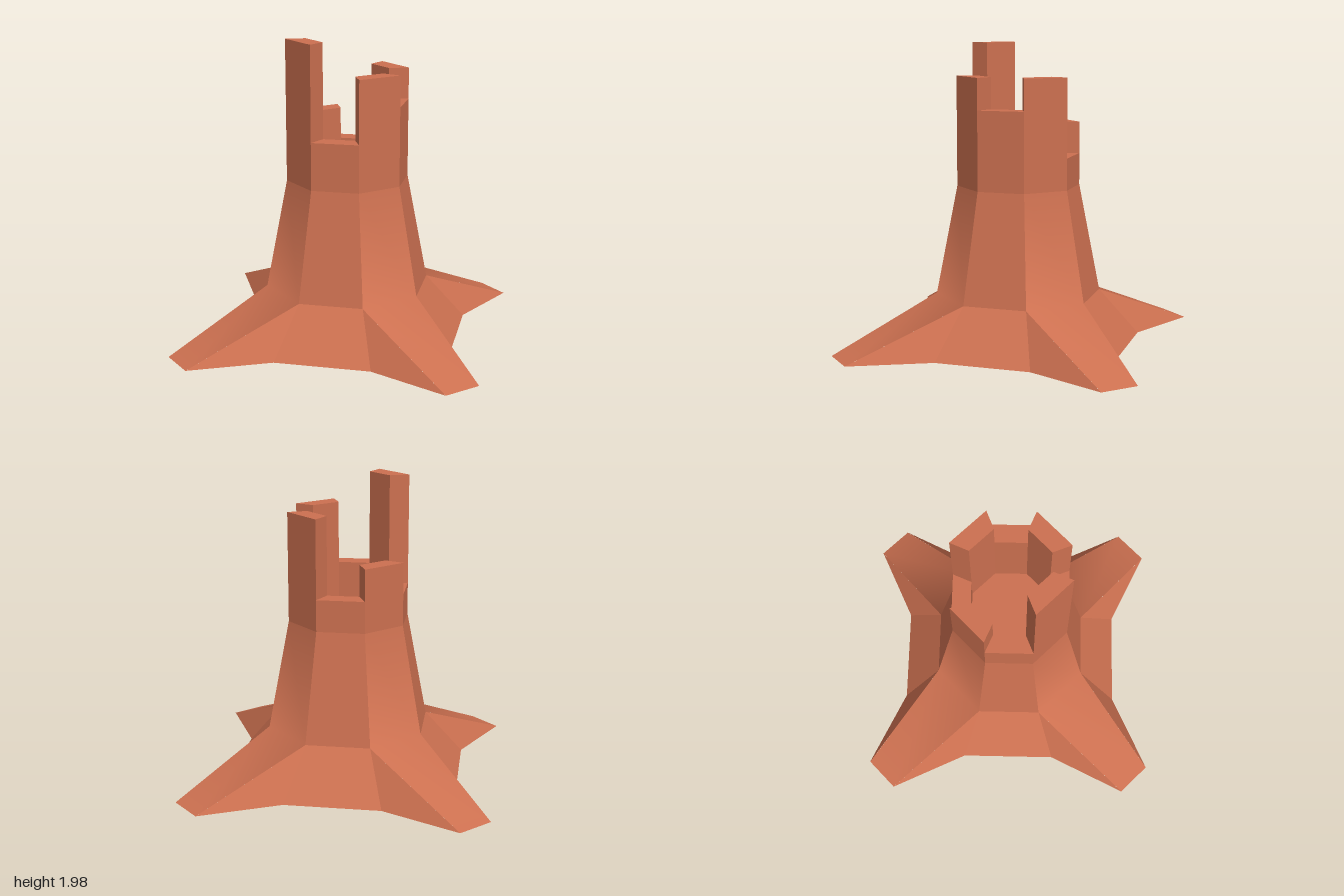
import * as THREE from 'three';

const TURN = Math.PI / 4;
const RIM_Y = 1.04;
const tan = Math.tan(Math.PI / 8);
const R_OUT = 0.378, R_IN = 0.255, R_WAIST = 0.51;

const material = new THREE.MeshStandardMaterial({ color: 0xcc7050 });

// Panel facing +z from mirrored rows [halfWidth, y, z]
function panel(rows, faces, smooth) {
  const points = rows.flatMap(([w, y, z]) => [-w, y, z, w, y, z]);
  let geometry = new THREE.BufferGeometry();
  geometry.setAttribute('position', new THREE.Float32BufferAttribute(points, 3));
  geometry.setIndex(faces);
  if (!smooth) geometry = geometry.toNonIndexed();
  geometry.computeVertexNormals();
  return geometry;
}

function polygon(points) {
  return new THREE.Shape(points.map(([x, y]) => new THREE.Vector2(x, y)));
}

export function createModel() {
  const group = new THREE.Group();
  const add = (name, geometry, step = 0) => {
    const mesh = new THREE.Mesh(geometry, material);
    mesh.name = name;
    mesh.rotation.y = step * TURN;
    group.add(mesh);
    return mesh;
  };

  const rim = [R_OUT * tan, RIM_Y, R_OUT];
  const waist = [R_WAIST * tan, 0.313, R_WAIST];
  const twoQuads = [0, 2, 3, 0, 3, 1, 2, 4, 5, 2, 5, 3];

  // Flat trunk sides, with webs running out to the root toes
  const side = panel([rim, waist, [0.315, 0, 0.76], [0.82, 0, 1]],
    [...twoQuads, 2, 6, 4, 3, 5, 7], false);
  // Diagonal trunk sides sweeping smoothly into the roots
  const root = panel([rim, waist, [0.127, 0, 1.287]], twoQuads, true);
  for (let i = 0; i < 4; i++) {
    add('trunkSide', side, i * 2);
    add('root', root, i * 2 + 1);
  }

  // Broken crown: one wall piece per side, counted from the front towards +x
  const heights = [1.355, 1.77, 1.563, 1.77, 1.25, 1.46, 1.25, 1.98];
  const wall = polygon([
    [-R_OUT * tan, -R_OUT], [R_OUT * tan, -R_OUT],
    [R_IN * tan, -R_IN], [-R_IN * tan, -R_IN],
  ]);
  heights.forEach((top, i) => {
    const geometry = new THREE.ExtrudeGeometry(wall, { depth: top - RIM_Y, bevelEnabled: false });
    geometry.rotateX(-Math.PI / 2);
    add('crownWall', geometry, i).position.y = RIM_Y;
  });

  // Floor inside the crown
  const floor = new THREE.CircleGeometry(R_IN / Math.cos(TURN / 2), 8, TURN / 2);
  floor.rotateX(-Math.PI / 2);
  add('hollowFloor', floor).position.y = RIM_Y;

  // Underside following the root outline
  const outline = [];
  for (let i = 0; i < 4; i++) {
    const c = Math.round(Math.cos(i * Math.PI / 2)), s = Math.round(Math.sin(i * Math.PI / 2));
    for (const [x, y] of [[0.82, 1], [0.315, 0.76], [-0.315, 0.76], [-0.82, 1]]) {
      outline.push([x * c - y * s, x * s + y * c]);
    }
  }
  const underside = new THREE.ShapeGeometry(polygon(outline));
  underside.rotateX(Math.PI / 2);
  add('underside', underside);

  return group;
}
